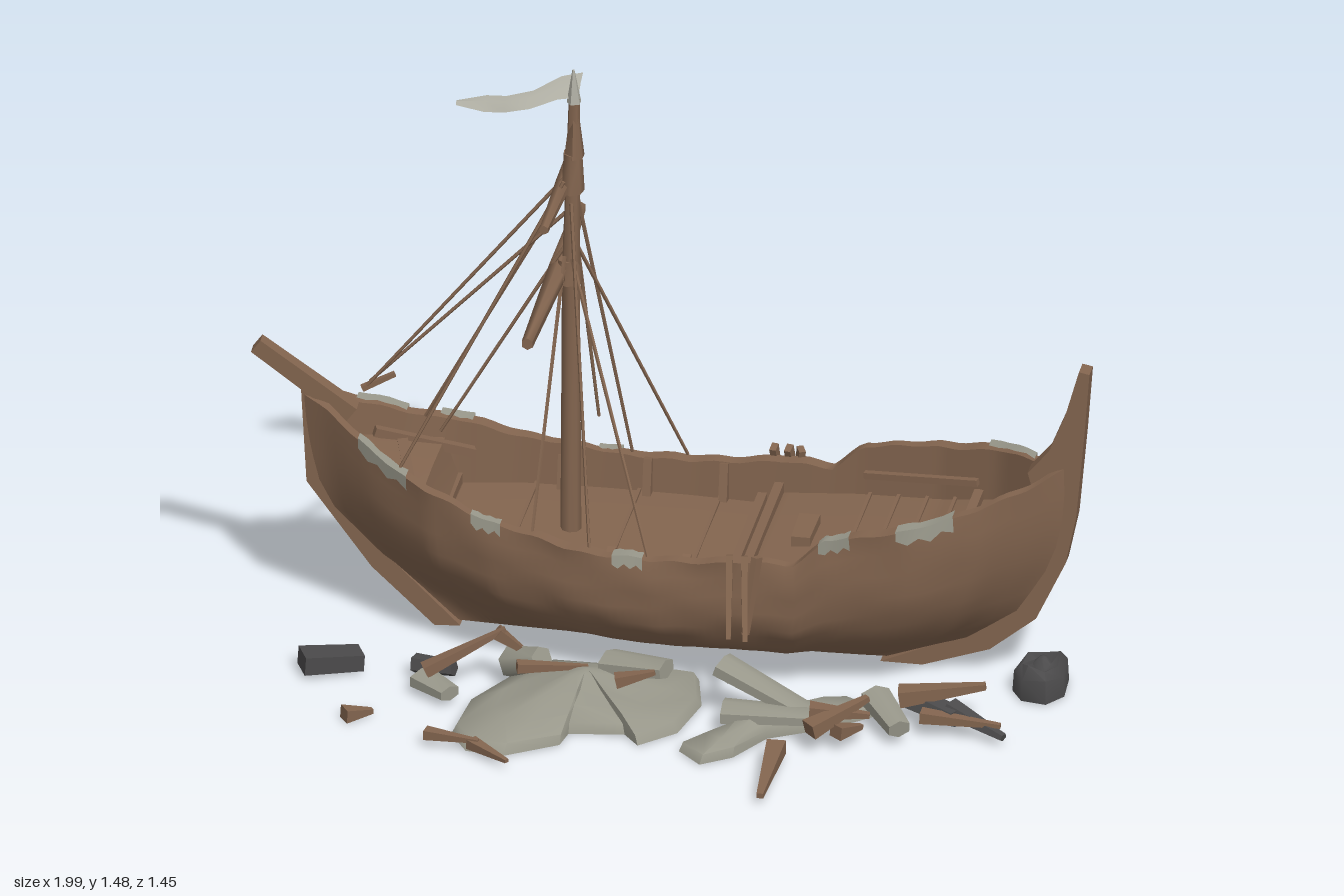
import * as THREE from 'three';
import { toCreasedNormals } from 'three/addons/utils/BufferGeometryUtils.js';

const mat = (name, color) => {
  const m = new THREE.MeshStandardMaterial({ color, side: THREE.DoubleSide });
  m.name = name;
  return m;
};
const wood = mat('weathered wood', 0x83654f);
const stone = mat('pale stone', 0x98978a);
const coal = mat('dark rock', 0x4b4a4b);
const cloth = mat('faded cloth', 0xaeada2);

const CZ = -0.07; // centre line of the ship
const lerp = THREE.MathUtils.lerp;

// Linear lookup in a small [x, y] table
function look(table, x) {
  for (let i = 1; i < table.length; i++) {
    const [x0, y0] = table[i - 1], [x1, y1] = table[i];
    if (x <= x1) return lerp(y0, y1, Math.max(0, (x - x0) / (x1 - x0)));
  }
  return table[table.length - 1][1];
}

const SHEER = [[-.87, .58], [-.8, .55], [-.75, .525], [-.6, .46], [-.4, .395], [-.2, .36], [0, .345], [.2, .365], [.34, .36], [.41, .43], [.6, .46], [.85, .515], [.94, .55]];
const BEAM = [[-.87, .02], [-.82, .048], [-.7, .128], [-.55, .205], [-.4, .245], [-.2, .268], [0, .28], [.2, .283], [.4, .272], [.6, .24], [.75, .182], [.85, .1], [.94, .02]];
const BOW = [[0, -.55], [.15, -.63], [.3, -.73], [.55, -.85], [.8, -.87], [1, -.87]];
const STERN = [[0, .58], [.15, .76], [.3, .86], [.55, .93], [.8, .95], [1, .94]];
const SECTION = [[0, .05], [.08, .3], [.15, .5], [.3, .8], [.5, .98], [.75, 1.02], [1, 1]];
const DECK = [[-.87, .47], [-.56, .4], [-.54, .28], [.18, .255], [.2, .285], [.6, .325], [.94, .42]];
const LEVELS = [1, .88, .75, .62, .5, .4, .3, .22, .15, .08, 0];

const topX = u => lerp(-.87, .94, u);
const sheer = x => look(SHEER, x) + .005 * Math.sin(x * 41) * Math.sin(x * 17);

// Point of the outer planking at station u, height v, side s
function hullPoint(u, v, s) {
  const x = lerp(look(BOW, v), look(STERN, v), u);
  const w = look(BEAM, topX(u)) / .283;
  const dent = 1 + .035 * Math.sin(x * 13 + v * 9 + s) * Math.sin(v * 9 + x * 4);
  const half = .283 * Math.pow(w, 1 + (1 - v) * .6) * look(SECTION, v) * dent;
  return [x, .01 + (sheer(topX(u)) - .01) * v, CZ + s * half];
}
function innerPoint(u, y, s, inset = .036) {
  const half = Math.max(.004, look(BEAM, topX(u)) - inset);
  return [topX(u), y, CZ + s * half];
}

// Surface through rows of points
function loft(rows, crease = .9) {
  const n = rows[0].length, index = [];
  for (let i = 0; i < rows.length - 1; i++)
    for (let j = 0; j < n - 1; j++) {
      const a = i * n + j, c = a + n;
      index.push(a, a + 1, c, a + 1, c + 1, c);
    }
  const g = new THREE.BufferGeometry();
  g.setAttribute('position', new THREE.Float32BufferAttribute(rows.flat(2), 3));
  g.setIndex(index);
  return toCreasedNormals(g, crease);
}

export function createModel() {
  const root = new THREE.Group();
  root.name = 'shipwreck';
  const add = (name, geo, m) => {
    const mesh = new THREE.Mesh(geo, m);
    mesh.name = name;
    root.add(mesh);
    return mesh;
  };
  // Bar from a to b, width w by height h, narrowing to the factor taper at b
  const bar = (name, m, a, b, w, h = w, taper = 1, sides = 6) => {
    const A = new THREE.Vector3(...a), B = new THREE.Vector3(...b);
    const k = sides === 4 ? Math.SQRT1_2 : .5;
    let g = new THREE.CylinderGeometry(k * taper, k, A.distanceTo(B), sides);
    if (sides === 4) g.rotateY(Math.PI / 4);
    g.rotateX(Math.PI / 2).scale(w, h, 1);
    g = toCreasedNormals(g, sides > 4 ? 1.1 : .3);
    const mesh = add(name, g, m);
    mesh.position.copy(A).lerp(B, .5);
    mesh.lookAt(B);
  };
  // Low heap on the ground: outline in x,z drawn in towards a peak
  const heap = (name, m, outline, [px, pz, h], lip = .18) => {
    const rows = [[1, -1], [1, .02], [.95, lip], [.68, lip + .24], [.35, .74], [.12, .97], [0, 1]].map(([r, t], k) =>
      [...outline, outline[0]].map(([x, z], i) => {
        const bump = k > 1 && k < 5 ? 1 + .1 * Math.sin((i % outline.length) * 2.4 + k * 1.7) : 1;
        return t < 0 ? [px, 0, pz] : [lerp(px, x, r), h * t * bump, lerp(pz, z, r)];
      }));
    add(name, loft(rows, 1), m);
  };
  const plate = (name, pts, depth, m) => {
    const g = new THREE.ExtrudeGeometry(new THREE.Shape(pts.map(p => new THREE.Vector2(...p))), { depth, bevelEnabled: false });
    add(name, g.translate(0, 0, CZ - depth / 2), m);
  };

  // Hull with bulwark, and the deck inside it
  const N = 90, hull = [], deck = [];
  for (let i = 0; i <= N; i++) {
    const u = i / N, x = topX(u), d = look(DECK, x), y = sheer(x);
    const side = s => [innerPoint(u, d - .01, s), innerPoint(u, y, s, .032), ...LEVELS.map(v => hullPoint(u, v, s))];
    hull.push([...side(1), ...side(-1).reverse()]);
    deck.push([innerPoint(u, d, -1), [x, d + .006, CZ], innerPoint(u, d, 1)]);
  }
  add('hull', loft(hull), wood);
  add('deck', loft(deck, .5), wood);

  // Stem, stern post and bowsprit
  plate('stem', [[-.5, .005], [-.56, 0], [-.71, .14], [-.865, .35], [-.878, .59], [-.83, .575], [-.82, .38], [-.68, .18]], .04, wood);
  plate('sternPost', [[.5, .005], [.6, .005], [.76, .06], [.87, .15], [.94, .3], [.965, .42], [.985, .64], [.997, .8], [.972, .805],
    [.94, .69], [.9, .59], [.85, .53], [.89, .38], [.84, .2], [.72, .1]], .046, wood);
  bar('bowsprit', wood, [-.76, .53, CZ], [-.985, .695, CZ + .01], .04, .045, .85, 4);

  // Broken moss patches along the rail, lapping over its outer edge
  for (const [a, b, s] of [[.08, .15, 1], [.24, .28, 1], [.43, .47, 1], [.7, .74, 1], [.8, .87, 1], [.06, .12, -1], [.16, .2, -1], [.36, .39, -1], [.88, .95, -1]]) {
    const rows = [0, .2, .4, .6, .8, 1].map((t, i) => {
      const u = lerp(a, b, t), p = hullPoint(u, 1, s), q = innerPoint(u, p[1], s, i % 2 ? .03 : .024);
      const lap = hullPoint(u, i % 2 ? .93 : .96, s);
      p[1] += .007; q[1] += .007; lap[2] += s * .005; p[2] += s * .004;
      return s > 0 ? [q, p, lap] : [lap, p, q];
    });
    add('railMoss', loft(rows), stone);
  }

  // Deck planks, beams, hatch and frames
  for (const x of [-.36, -.12, .07, .43, .5, .57, .64]) {
    const y = look(DECK, x) + .005, w = look(BEAM, x) - .04;
    bar('plankEdge', wood, [x, y, CZ - w], [x, y, CZ + w], .008, .008, 1, 4);
  }
  for (const x of [-.54, .17, .21, .7]) {
    const y = look(DECK, x) + .012, w = look(BEAM, x) - .036;
    bar('deckBeam', wood, [x, y, CZ - w], [x, y, CZ + w], .022, .03, 1, 4);
  }
  bar('hatch', wood, [.315, .31, -.14], [.315, .31, -.02], .05, .035, .9, 4);
  for (const s of [-1, 1]) {
    bar('aftRailing', wood, [.42, .37, CZ + s * .21], [.7, .405, CZ + s * .15], .016, .016, 1, 4);
    bar('foreTimber', wood, [-.72, .45, CZ + s * .07], [-.5, .37, CZ + s * .16], .022, .022, 1, 4);
    for (const x of [-.3, -.1, .08]) bar('bulwarkKnee', wood, [x, .26, CZ + s * (look(BEAM, x) - .05)], [x, .35, CZ + s * (look(BEAM, x) - .03)], .02, .03, 1, 4);
    // Timbers hanging over each side
    for (const [x, dx] of [[.19, .01], [.225, .015], [.255, -.02]])
      bar('hangingTimber', wood, [x, .385, CZ + s * .285], [x + dx, .2, CZ + s * (.345 + dx)], .016, .024, .7, 4);
  }
  bar('foreTimber', wood, [-.66, .42, -.17], [-.6, .41, .05], .025, .02, 1, 4);

  // Mast, yards and lashings
  bar('lowerMast', wood, [-.24, .25, CZ], [-.24, .95, CZ], .05, .05, .85, 8);
  bar('upperMast', wood, [-.24, .93, CZ], [-.232, 1.4, CZ], .044, .044, .6, 8);
  bar('mastTip', wood, [-.232, 1.25, CZ], [-.232, 1.42, CZ], .05, .055, .15, 6);
  bar('mastCollar', wood, [-.245, .92, CZ], [-.245, .98, CZ], .068, .06, .8, 7);
  bar('mastCollar', wood, [-.236, 1.16, CZ], [-.236, 1.26, CZ], .056, .068, .8, 7);
  const yard = (x, y0, z0, y1, z1, r) => {
    const mid = [x, (y0 + y1) / 2, CZ];
    bar('yard', wood, mid, [x, y0, z0], r, r, .6);
    bar('yard', wood, mid, [x - .01, y1, z1], r, r, .6);
  };
  yard(-.27, .952, .33, .945, -.405, .05);
  yard(-.26, 1.172, .17, 1.17, -.315, .038);

  // Rigging
  const ropes = [
    [[-.25, 1.2, -.06], [-.73, .6, -.06]], [[-.25, 1.1, -.08], [-.72, .61, -.08]], [[-.25, 1.2, -.03], [-.62, .47, .08]],
    [[-.25, 1.16, -.11], [-.61, .47, -.2]], [[-.25, 1.02, -.07], [-.55, .5, -.07]], [[-.25, 1.0, -.04], [-.29, .36, .17]],
    [[-.23, 1.15, -.02], [-.15, .35, .18]], [[-.23, 1.0, -.03], [-.01, .35, .19]], [[-.24, 1.15, -.12], [-.14, .36, -.32]],
    [[-.23, 1.0, -.1], [-.01, .36, -.33]], [[-.25, 1.15, -.12], [-.29, .36, -.31]], [[-.25, 1.18, -.1], [-.2, .5, -.215]],
  ];
  for (const [a, b] of ropes) bar('rigging', wood, a, b, .01, .01, .8, 5);
  bar('ropeSpreader', wood, [-.735, .6, -.06], [-.66, .635, -.08], .014, .014, .8, 4);

  // Torn pennant at the mast head, sloping down towards the front
  const pennant = [[-.222, 1.425, -.1, .03], [-.27, 1.42, -.085, .028], [-.33, 1.4, -.05, .022], [-.39, 1.39, -.035, .02], [-.44, 1.38, -.05, .02], [-.505, 1.385, -.03, .006]];
  add('pennant', loft(pennant.map(([x, y, z, h]) => [[x, y + h * .5, z - h], [x, y + .004, z], [x, y - h * .7, z + h]])), cloth);
  bar('pennantKnot', cloth, [-.232, 1.39, CZ], [-.234, 1.475, CZ], .036, .036, .15, 5);

  // Stone heaps beside the hull
  heap('rearHeap', stone, [[-.33, -.54], [-.27, -.63], [-.15, -.64], [-.02, -.67], [.06, -.61], [.16, -.6], [.27, -.54], [.25, -.36], [.15, -.24], [-.15, -.23], [-.26, -.36]].reverse(), [-.02, -.37, .155]);
  heap('frontHeap', stone, [[-.42, .5], [-.37, .58], [-.28, .59], [-.16, .51], [-.15, .45], [-.02, .43], [.02, .48], [.1, .4], [.13, .25], [.1, .12], [-.25, .12], [-.34, .22], [-.41, .37]], [-.14, .27, .085], .3);
  heap('rearSlab', stone, [[.38, -.33], [.5, -.45], [.62, -.51], [.79, -.515], [.82, -.47], [.68, -.44], [.58, -.36], [.44, -.28]].reverse(), [.57, -.43, .065], .45);
  heap('farSlab', stone, [[.3, -.7], [.36, -.725], [.5, -.7], [.61, -.63], [.58, -.6], [.42, -.63]].reverse(), [.45, -.67, .035], .5);
  heap('frontSlab', stone, [[.12, .49], [.18, .55], [.25, .5], [.31, .39], [.45, .31], [.55, .22], [.47, .17], [.33, .27], [.2, .41]], [.3, .35, .06], .4);
  const stones = [
    [[.18, .125, .27], [.43, .035, .34], .09, .05], [[.2, .05, .36], [.43, .05, .35], .1, .05], [[-.53, .03, .28], [-.45, .03, .35], .08, .05],
    [[.54, .06, .24], [.62, .04, .36], .08, .06], [[-.43, .02, -.6], [-.32, .02, -.53], .04, .03], [[-.38, .02, -.48], [-.31, .02, -.57], .04, .03],
    [[-.1, .08, .22], [.05, .1, .27], .1, .06], [[-.33, .05, .2], [-.25, .09, .25], .09, .08],
  ];
  for (const [a, b, w, h] of stones) bar('looseStone', stone, a, b, w, h, .75, 6);

  // Dark rocks
  heap('darkRock', coal, [[.83, .04], [.86, .09], [.92, .1], [.955, .05], [.95, -.04], [.88, -.06], [.84, -.02]], [.9, .02, .09], .62);
  bar('darkRock', coal, [-.82, .035, .255], [-.69, .025, .195], .07, .045, .9, 4);
  bar('darkRock', coal, [.62, .05, .21], [.74, .04, .28], .08, .06, .8, 5);
  bar('darkRock', coal, [.72, .05, .25], [.86, .02, .32], .06, .05, .4, 5);
  bar('darkRock', coal, [-.56, .03, .21], [-.46, .04, .24], .05, .05, .8, 5);

  // Splintered planks on the ground
  const splinters = [
    [[-.47, .03, .56], [-.34, .03, .58], .03], [[-.36, .02, .57], [-.26, .02, .65], .03], [[.35, .03, .48], [.355, .02, .72], .045],
    [[-.68, .015, .47], [-.62, .01, .43], .04], [[.42, .06, .44], [.54, .1, .33], .045], [[.48, .05, .42], [.53, .04, .36], .04],
    [[.41, .08, .38], [.55, .07, .36], .04], [[.6, .07, .25], [.8, .1, .22], .05], [[-.52, .06, .3], [-.34, .15, .23], .035],
    [[-.36, .14, .23], [-.29, .08, .21], .035], [[-.3, .09, .3], [-.14, .08, .25], .03], [[-.06, .09, .33], [.03, .11, .31], .035],
    [[.2, .07, .22], [.24, .11, .3], .035], [[.66, .05, .3], [.85, .04, .3], .035], 
  ];
  for (const [a, b, w] of splinters) bar('splinter', wood, a, b, w, w * .8, .35, 4);
  return root;
}
